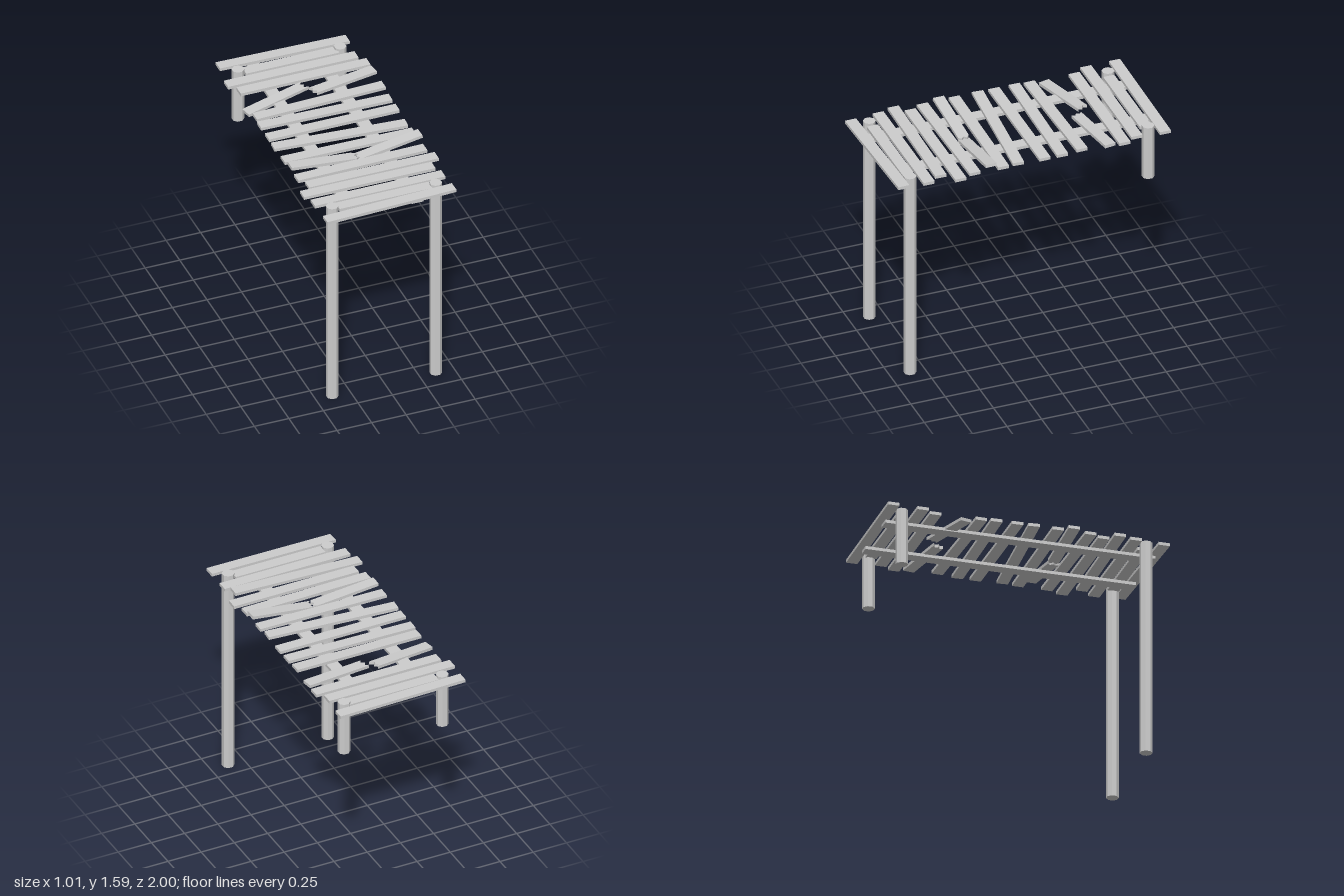
import * as THREE from 'three';

const WIDTH = 0.08, THICK = 0.022, DECK = 1.533;

// Board between two end centres [x, y, z]; optional jagged ends are offsets along the length
function makeBoard(name, a, b, material, { width = WIDTH, jagStart = [0, 0], jagEnd = [0, 0] } = {}) {
  const start = new THREE.Vector3(...a), end = new THREE.Vector3(...b);
  const d = end.clone().sub(start), half = d.length() / 2;
  const edge = (jag, x) => jag.map((o, i) => new THREE.Vector2(x + o, width * (0.5 - i / (jag.length - 1))));
  const shape = new THREE.Shape([...edge(jagStart, -half), ...edge(jagEnd, half).reverse()]);
  const geo = new THREE.ExtrudeGeometry(shape, { depth: THICK, bevelEnabled: false });
  geo.translate(0, 0, -THICK / 2).rotateX(-Math.PI / 2);
  const mesh = new THREE.Mesh(geo, material);
  mesh.name = name;
  mesh.position.copy(start).add(end).multiplyScalar(0.5);
  mesh.rotation.set(0, Math.atan2(-d.z, d.x), Math.atan2(d.y, Math.hypot(d.x, d.z)), 'YZX');
  return mesh;
}

export function createModel() {
  const model = new THREE.Group();
  model.name = 'brokenJetty';
  const wood = new THREE.MeshStandardMaterial({ color: 0xcccccc });
  wood.name = 'paleGreyWood';

  // Octagonal posts: tall at the front, short at the back
  for (const [name, x, z, bottom] of [
    ['frontRightPost', -0.38, 0.857, 0], ['frontLeftPost', 0.37, 0.857, 0],
    ['backRightPost', -0.38, -0.87, 1.157], ['backLeftPost', 0.36, -0.87, 1.157],
  ]) {
    const h = 1.56 - bottom;
    const geo = new THREE.CylinderGeometry(0.0433, 0.0433, h, 8).rotateY(Math.PI / 8).toNonIndexed();
    geo.computeVertexNormals();
    const post = new THREE.Mesh(geo, wood);
    post.name = name;
    post.position.set(x, bottom + h / 2, z);
    model.add(post);
  }

  // Two rails under the deck
  for (const x of [-0.242, 0.199])
    model.add(makeBoard('rail', [x, 1.511, -0.955], [x, 1.511, 0.955], wood, { width: 0.085 }));

  // Whole planks: x start, z start, x end, z end, height change at each end
  const planks = [
    [-0.49, -0.96, 0.45, -0.96, 0.016, 0],
    [-0.34, -0.86, 0.335, -0.86],
    [-0.51, -0.76, 0.435, -0.76],
    [-0.46, -0.655, 0.48, -0.655],
    [-0.47, -0.335, 0.47, -0.35, 0, 0.014],
    [-0.48, -0.23, 0.465, -0.21],
    [-0.48, -0.083, 0.465, -0.083],
    [-0.485, 0.033, 0.455, 0.105],
    [-0.48, 0.205, 0.465, 0.217],
    [-0.475, 0.437, 0.465, 0.422],
    [-0.437, 0.54, 0.502, 0.54],
    [-0.51, 0.633, 0.432, 0.658, 0, 0.014],
    [-0.48, 0.755, 0.465, 0.755],
    [-0.34, 0.85, 0.335, 0.85],
    [-0.47, 0.957, 0.47, 0.94, -0.005, 0.012],
  ];
  for (const [x0, z0, x1, z1, y0 = 0, y1 = 0] of planks)
    model.add(makeBoard('plank', [x0, DECK + y0, z0], [x1, DECK + y1, z1], wood));

  // Snapped planks with splintered inner ends
  model.add(
    makeBoard('backBrokenPlankRight', [-0.49, 1.5, -0.449], [-0.035, 1.542, -0.545], wood,
      { jagEnd: [0.005, -0.015, 0.005, -0.01, 0.02] }),
    makeBoard('backBrokenPlankLeft', [0.015, 1.525, -0.487], [0.48, 1.543, -0.55], wood,
      { jagStart: [-0.01, 0.01, -0.005, 0.018, 0.005] }),
    makeBoard('frontBrokenPlankRight', [-0.475, 1.56, 0.32], [0, 1.516, 0.32], wood,
      { jagEnd: [-0.018, 0.008, -0.01, 0.008, -0.005] }),
    makeBoard('frontBrokenPlankLeft', [0.015, 1.511, 0.325], [0.475, 1.58, 0.31], wood,
      { jagStart: [-0.01, 0.012, -0.008, 0.01, -0.012] }),
  );
  return model;
}
